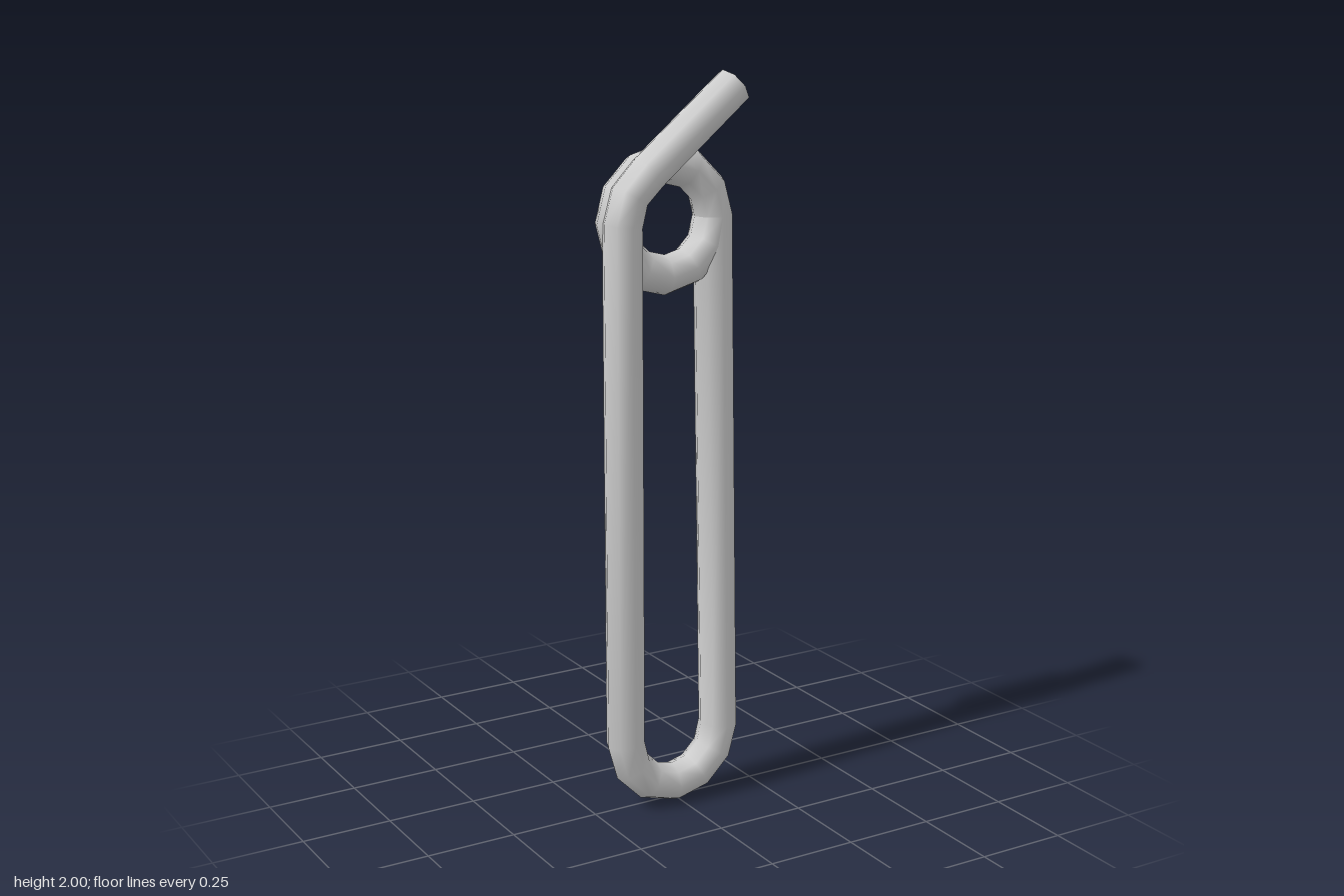
import * as THREE from 'three';

const WIRE = 0.054, BEND = 0.147, CX = -0.017;
const LOW = 0.204, HIGH = 1.622;       // heights of the lower and upper bend centres
const FRONT = 0.018, BACK = -0.02;     // depth of the two layers of wire

// Path that visits each given point once, so the tube keeps its coarse facets
class WirePath extends THREE.Curve {
  constructor(points) {
    super();
    this.points = points;
  }
  getPoint(t, target = new THREE.Vector3()) {
    return target.copy(this.points[Math.round(t * (this.points.length - 1))]);
  }
  getPointAt(t, target) {
    return this.getPoint(t, target);
  }
  getTangentAt(t, target = new THREE.Vector3()) {
    const p = this.points, i = Math.round(t * (p.length - 1));
    const ahead = p[Math.min(i + 1, p.length - 1)].clone().sub(p[Math.max(i, 0)]).normalize();
    const behind = p[i].clone().sub(p[Math.max(i - 1, 0)]).normalize();
    return target.copy(ahead).add(behind).normalize();
  }
}

// Points on a bend, in 30 degree steps
function bend(cy, from, to, z) {
  const steps = Math.abs(to - from) / 30, points = [];
  for (let i = 0; i <= steps; i++) {
    const a = THREE.MathUtils.degToRad(from + (to - from) * i / steps);
    points.push(new THREE.Vector3(CX + BEND * Math.cos(a), cy + BEND * Math.sin(a), z));
  }
  return points;
}

export function createModel() {
  const group = new THREE.Group();
  group.name = 'wireClip';

  const path = new WirePath([
    new THREE.Vector3(0.189, 1.956, -0.016),  // free end
    ...bend(HIGH, 120, 180, FRONT),           // shoulder into the front leg
    ...bend(LOW, 180, 360, FRONT),            // lower loop
    ...bend(HIGH, 0, 360, BACK),              // rear leg into the closed eye
  ]);

  const wire = new THREE.Mesh(
    new THREE.TubeGeometry(path, path.points.length - 1, WIRE, 8, false),
    new THREE.MeshStandardMaterial({ color: 0xcccccc, side: THREE.DoubleSide })
  );
  wire.name = 'bentWire';
  group.add(wire);
  return group;
}
